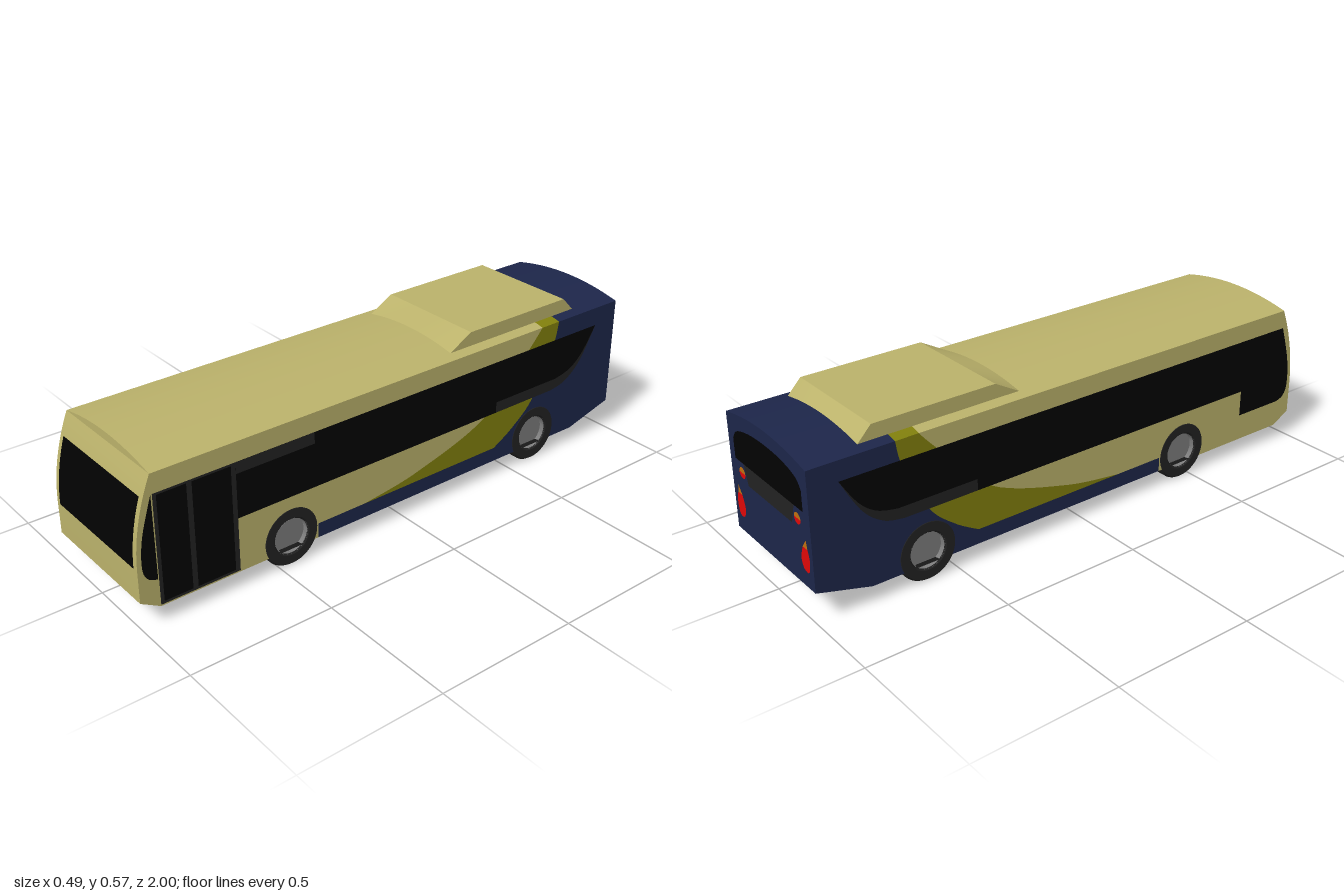
import * as THREE from 'three';
import { toCreasedNormals } from 'three/addons/utils/BufferGeometryUtils.js';

const W = 0.2415, EAVE = 0.512, CROWN = 0.541, SILL = 0.058, AXLE = 0.105;
const CREAM = 0xbbb26b, OLIVE = 0x82800c, NAVY = 0x1d264a, BLACK = 0x020202, DARK = 0x222222, FLOOR = 0x181818;
const V = (a) => new THREE.Vector2(a[0], a[1]);

function mesh(name, geometry, color) {
  const m = new THREE.Mesh(geometry, new THREE.MeshStandardMaterial({ color, side: THREE.DoubleSide }));
  m.name = name;
  return m;
}
const poly = (pts) => new THREE.Shape(pts.map(V));
const spline = (pts, n = 16) => new THREE.SplineCurve(pts.map(V)).getPoints(n).map((p) => [p.x, p.y]);

// Surface through rows of [x, y, z] points
function loft(rows) {
  const n = rows[0].length, index = [];
  for (let i = 0; i < rows.length - 1; i++)
    for (let j = 0; j < n - 1; j++) {
      const a = i * n + j, b = a + n;
      index.push(a, b, a + 1, b, b + 1, a + 1);
    }
  const g = new THREE.BufferGeometry();
  g.setAttribute('position', new THREE.Float32BufferAttribute(rows.flat(2), 3));
  g.setIndex(index);
  g.computeVertexNormals();
  return g;
}
// Full-width band following a [z, y] profile
const band = (profile, w = W, push = 0) =>
  toCreasedNormals(loft(profile.map(([z, y]) => [[-w, y, z + push], [w, y, z + push]])), 0.4);

// Flat panel on the right (-x) side, drawn in (z, y)
function sidePanel(name, shape, color, layer = 0) {
  const g = new THREE.ShapeGeometry(shape, 20);
  g.rotateY(-Math.PI / 2);
  g.translate(-W - layer * 0.0007, 0, 0);
  return mesh(name, g, color);
}
// Flat panel on the back, drawn in (x, y)
function backPanel(name, shape, color, layer = 0) {
  const g = new THREE.ShapeGeometry(shape, 20);
  g.rotateY(Math.PI);
  g.translate(0, 0, -1 - layer * 0.0008);
  return mesh(name, g, color);
}

const frontZ = (y) => 1 - 0.065 * Math.max(0, (y - 0.21) / 0.302) ** 2;
const frontCurve = (y0, y1, n = 10) =>
  Array.from({ length: n + 1 }, (_, i) => y0 + ((y1 - y0) * i) / n).map((y) => [frontZ(y), y]);
const roofY = (x) => EAVE + (CROWN - EAVE) * (1 - (x / W) ** 2);
const across = (w) => Array.from({ length: 25 }, (_, i) => (i / 12 - 1) * w);
const roofArc = across(W).map((x) => [x, roofY(x)]);

// Paint boundaries along the side
const creamEdge = spline([[0.16, 0.11], [-0.07, 0.147], [-0.37, 0.25], [-0.565, 0.445], [-0.625, EAVE]], 30);
const navyEdge = spline([[-0.42, 0.11], [-0.51, 0.165], [-0.6, 0.25], [-0.685, 0.42], [-0.707, EAVE]], 30);

// Wheel opening along the sill, from rear to front
function arch(shape, z) {
  const a = Math.asin((AXLE - SILL) / 0.1);
  shape.absarc(z, AXLE, 0.1, Math.PI + a, -a, true);
}

function wheel(z) {
  const g = new THREE.Group();
  g.name = 'wheel';
  const turn = (pts) => {
    const geo = new THREE.LatheGeometry(pts.map(V), 40);
    geo.rotateZ(Math.PI / 2);
    return toCreasedNormals(geo, 0.6);
  };
  g.add(mesh('tyre', turn([[0, 0.146], [0.096, 0.146], [0.105, 0.155], [0.105, 0.235], [0.099, 0.243], [0.068, 0.243], [0.062, 0.238]]), DARK));
  g.add(mesh('rim', turn([[0.064, 0.24], [0.06, 0.222], [0, 0.222]]), 0x7c7c7c));
  g.position.set(0, AXLE, z);
  return g;
}

// Parts shared by both sides, built on the right
function buildSide() {
  const g = new THREE.Group();
  const cream = new THREE.Shape();
  cream.moveTo(0.35, 0.11).lineTo(0.35, SILL);
  arch(cream, 0.455);
  [[0.932, SILL], [1, 0.097], ...frontCurve(0.21, EAVE), ...[...creamEdge].reverse()]
    .forEach(([z, y]) => cream.lineTo(z, y));
  g.add(sidePanel('creamSide', cream, CREAM));

  g.add(sidePanel('oliveSwoosh', poly([...creamEdge, ...[...navyEdge].reverse()]), OLIVE));

  const navy = new THREE.Shape();
  navy.moveTo(-1, EAVE).lineTo(-1, 0.11).lineTo(-0.81, SILL);
  arch(navy, -0.61);
  navy.lineTo(0.35, SILL).lineTo(0.35, 0.11);
  navyEdge.forEach(([z, y]) => navy.lineTo(z, y));
  g.add(sidePanel('navySide', navy, NAVY));

  // Window band with its swept rear end
  const upper = spline([[-0.71, 0.29], [-0.78, 0.308], [-0.84, 0.355], [-0.9, 0.445]]);
  const lower = spline([[-0.69, 0.25], [-0.76, 0.267], [-0.83, 0.325], [-0.9, 0.445]]);
  g.add(sidePanel('sideWindows', poly([[0.65, 0.445], [0.65, 0.25], [-0.42, 0.25], [-0.42, 0.29], ...upper]), BLACK, 1));
  g.add(sidePanel('windowSweep', poly([[-0.42, 0.29], [-0.42, 0.25], ...lower, ...[...upper].reverse()]), DARK, 1));

  g.add(wheel(0.455), wheel(-0.61));
  return g;
}

export function createModel() {
  const bus = new THREE.Group();
  bus.name = 'bus';

  const right = buildSide(), left = buildSide();
  right.name = 'rightSide';
  left.name = 'leftSide';
  left.scale.x = -1;
  bus.add(right, left);

  // Entrance door, quarter window and header on the left
  const box = (z0, z1, y0, y1) => poly([[z0, y0], [z1, y0], [z1, y1], [z0, y1]]);
  const quarter = spline([[0.935, 0.155], [0.968, 0.17], [0.984, 0.215], [0.975, 0.315], [0.937, 0.445]], 20);
  left.add(sidePanel('doorFrame', box(0.65, 0.932, 0.063, 0.445), DARK, 1));
  left.add(sidePanel('doorPane', box(0.82, 0.92, 0.072, 0.438), BLACK, 2));
  left.add(sidePanel('doorPane', box(0.667, 0.802, 0.072, 0.438), BLACK, 2));
  left.add(sidePanel('quarterWindow', poly(quarter), BLACK, 1));
  left.add(sidePanel('windowHeader', box(0.36, 0.65, 0.405, 0.445), DARK, 2));
  // Dropped driver window on the right
  right.add(sidePanel('driverWindow', poly([[0.65, 0.445], [0.65, 0.25], [0.74, 0.25], [0.74, 0.155], ...quarter]), BLACK, 1));

  // Front, floor and roof
  bus.add(mesh('frontFace', band([[0.932, SILL], [1, 0.097], ...frontCurve(0.21, EAVE)]), CREAM));
  bus.add(mesh('windscreen', band(frontCurve(0.211, 0.44), 0.223, 0.001), BLACK));
  bus.add(mesh('floor', band([[-1, 0.11], [-0.81, SILL], [0.932, SILL]]), FLOOR));
  const gable = new THREE.ShapeGeometry(poly(roofArc));
  gable.translate(0, 0, 0.935);
  bus.add(mesh('frontGable', gable, CREAM));
  [['creamRoof', 0.935, -0.625, CREAM], ['oliveRoof', -0.625, -0.707, OLIVE], ['navyRoof', -0.707, -1, NAVY]]
    .forEach(([name, z0, z1, color]) =>
      bus.add(mesh(name, loft([z1, z0].map((z) => roofArc.map(([x, y]) => [x, y, z]))), color)));

  // Roof pod: flat top, sloping at both ends down to the curved roof
  const podX = 0.205, podTop = 0.57, podEdge = roofY(podX);
  const podRows = [[-0.81, roofY], [-0.762, () => podTop], [-0.32, () => podTop], [-0.23, roofY]]
    .map(([z, height]) => across(podX).map((x) => [x, height(x), z]));
  bus.add(mesh('roofPod', toCreasedNormals(loft(podRows), 0.3), CREAM));
  for (const s of [-1, 1]) {
    const wall = new THREE.ShapeGeometry(poly([[-0.23, podEdge], [-0.32, podTop], [-0.762, podTop], [-0.81, podEdge]].map(([z, y]) => [-s * z, y])));
    wall.rotateY((s * Math.PI) / 2);
    wall.translate(s * podX, 0, 0);
    bus.add(mesh('roofPodWall', wall, CREAM));
  }

  // Back with window, grille panel and lamps
  bus.add(backPanel('backFace', poly([[W, 0.11], [-W, 0.11], ...roofArc]), NAVY));
  const top = spline([[0.208, 0.435], [0.18, 0.468], [0.1, 0.489], [0, 0.495], [-0.1, 0.489], [-0.18, 0.468], [-0.208, 0.435]], 24);
  bus.add(backPanel('backWindow', poly([[-0.208, 0.367], [0.208, 0.367], ...top]), BLACK, 1));
  bus.add(backPanel('backGrille', poly([[-0.135, 0.3], [0.135, 0.3], [0.155, 0.367], [-0.155, 0.367]]), DARK, 1));
  for (const s of [-1, 1]) {
    const half = (a0, a1) => new THREE.Shape().absarc(s * 0.17, 0.33, 0.019, a0, a1, false);
    bus.add(backPanel('brakeLamp', half(Math.PI, Math.PI * 2), 0xe00808, 1));
    bus.add(backPanel('indicatorLamp', half(0, Math.PI), 0xc07010, 1));
    const lamp = spline([[0.216, 0.245], [0.225, 0.21], [0.216, 0.168], [0.188, 0.168], [0.174, 0.2], [0.188, 0.245]]);
    bus.add(backPanel('tailLamp', poly(lamp.map(([x, y]) => [s * x, y])), 0xe00808, 1));
    bus.add(backPanel('tailLampTip', poly([[s * 0.216, 0.245], [s * 0.188, 0.245], [s * 0.21, 0.275]]), 0xc07010, 1));
  }
  return bus;
}
